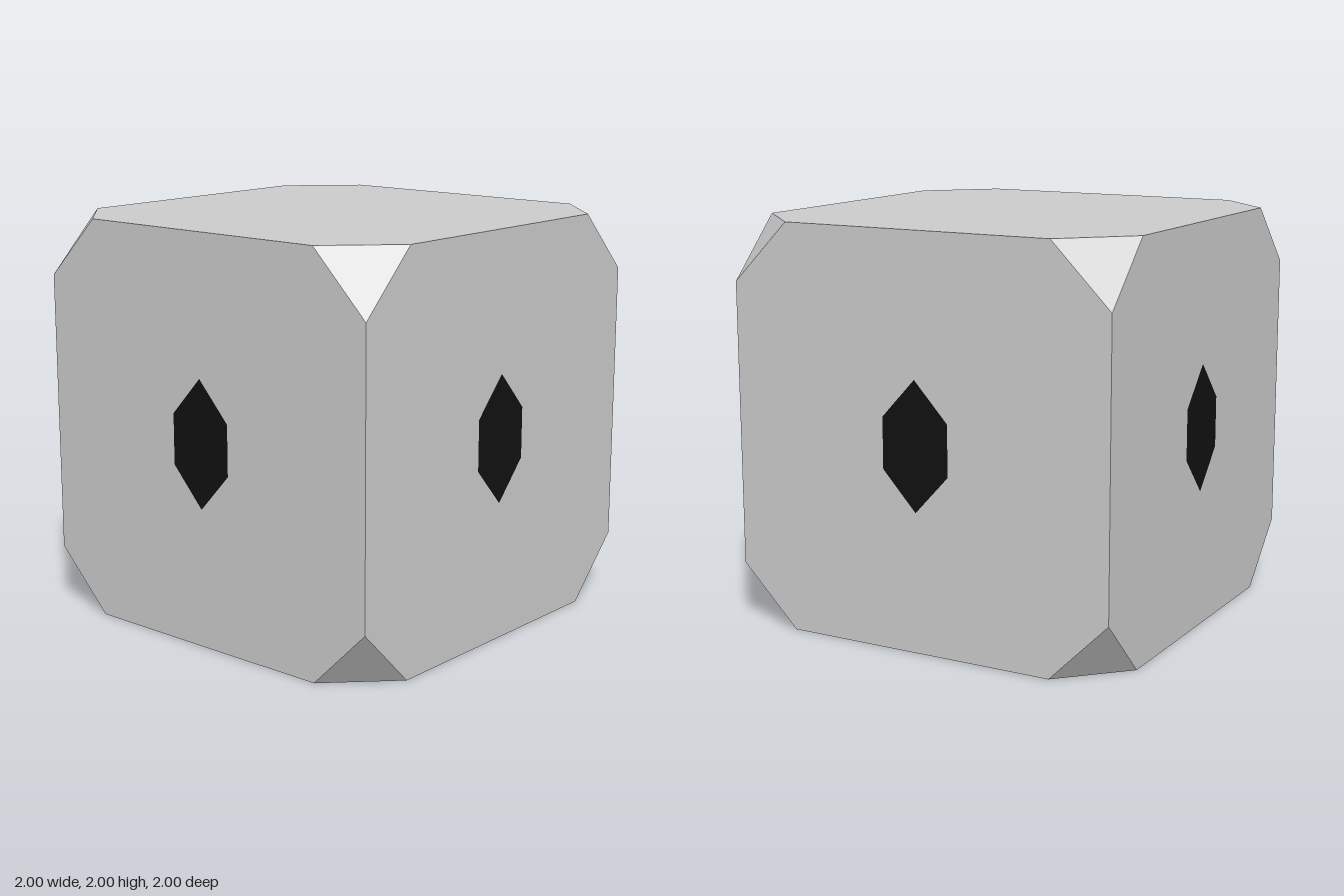
import * as THREE from 'three';

const CUT = 0.7; // where the corner cuts start along each edge

const material = (color) => new THREE.MeshStandardMaterial({ color, flatShading: true });

// Corner points of a square of half-size h with its corners cut at s
function octagon(h, s) {
  return [[s, h], [-s, h], [-h, s], [-h, -s], [-s, -h], [s, -h], [h, -s], [h, s]]
    .map(([x, y]) => new THREE.Vector2(x, y));
}

// Flat face at z = 1, optionally with a hole for the inlay
function face(outline, hole) {
  const shape = new THREE.Shape(outline);
  if (hole) shape.holes.push(new THREE.Path(hole));
  return new THREE.ShapeGeometry(shape).translate(0, 0, 1);
}

// Upright pointed slot
function slotOutline() {
  const quarter = [[0, 0.315], [0.12, 0.185], [0.175, 0.125]];
  const right = [...quarter, ...quarter.slice(1).reverse().map(([x, y]) => [x, -y])];
  const left = [[0, -0.315], ...right.slice(1).reverse().map(([x, y]) => [-x, y])];
  return [...right, ...left].map(([x, y]) => new THREE.Vector2(x, y));
}

export function createModel() {
  const model = new THREE.Group();
  model.name = 'truncatedCube';
  const bodyMat = material(0xcccccc);
  const panelMat = material(0xbdbdbd);
  const slotMat = material(0x111111);

  const add = (parent, name, geometry, mat) => {
    const mesh = new THREE.Mesh(geometry, mat);
    mesh.name = name;
    parent.add(mesh);
    return mesh;
  };

  const outer = octagon(1, CUT);
  const inner = octagon(0.805, 0.565);
  const slot = slotOutline();

  // Four sides: border, flush panel and dark slot
  ['front', 'left', 'back', 'right'].forEach((name, i) => {
    const side = new THREE.Group();
    side.name = name + 'Side';
    add(side, name + 'Border', face(outer, inner), bodyMat);
    add(side, name + 'Panel', face(inner, slot), panelMat);
    add(side, name + 'Slot', face(slot), slotMat);
    side.rotation.y = i * Math.PI / 2;
    side.position.y = 1;
    model.add(side);
  });

  // Plain top and bottom
  for (const [name, dir] of [['topFace', -1], ['bottomFace', 1]]) {
    const mesh = add(model, name, face(outer), bodyMat);
    mesh.rotation.x = dir * Math.PI / 2;
    mesh.position.y = 1;
  }

  // Triangular facets on the eight corners
  const points = [];
  for (const x of [-1, 1]) for (const y of [-1, 1]) for (const z of [-1, 1]) {
    const tri = [[x * CUT, y, z], [x, y * CUT, z], [x, y, z * CUT]];
    if (x * y * z < 0) tri.reverse();
    points.push(...tri.flat());
  }
  const corners = new THREE.BufferGeometry();
  corners.setAttribute('position', new THREE.Float32BufferAttribute(points, 3));
  corners.computeVertexNormals();
  add(model, 'cornerFacets', corners, bodyMat).position.y = 1;

  return model;
}
